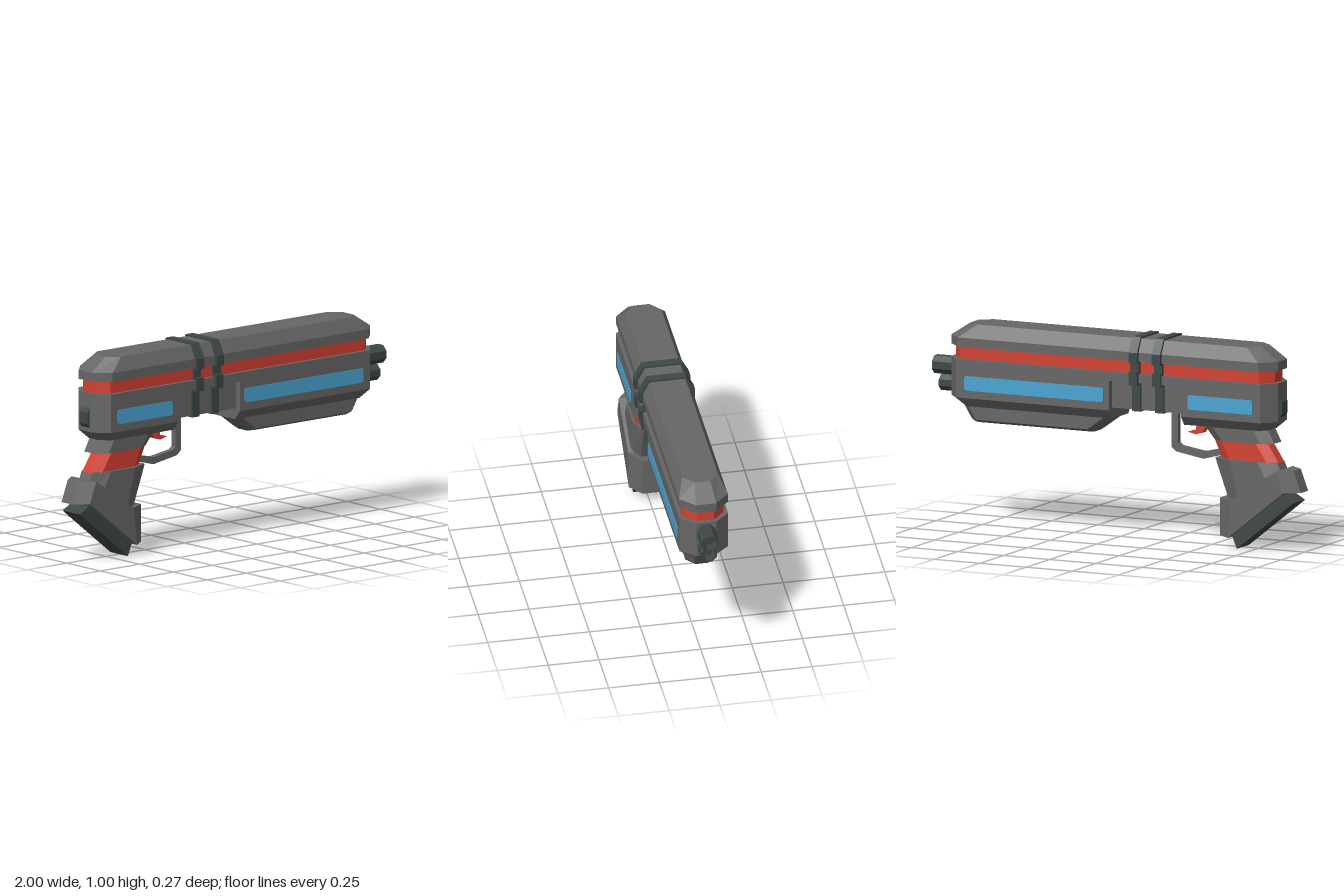
import * as THREE from 'three';

const mat = (name, color) => Object.assign(new THREE.MeshStandardMaterial({ color }), { name });

// Faceted normals on any geometry
function facet(geo) {
  const g = geo.index ? geo.toNonIndexed() : geo;
  g.computeVertexNormals();
  return g;
}

// Solid through rings listed bottom to top. A ring is a list of stations
// [x, y, halfWidth] running back to front, mirrored across z = 0.
function loft(rings) {
  const n = rings[0].length;
  const loops = rings.map(r => [
    ...r.map(([x, y, z]) => [x, y, z]),
    ...r.slice().reverse().map(([x, y, z]) => [x, y, -z]),
  ]);
  const pos = [];
  const quad = (a, b, c, d) => [a, b, c, a, c, d].forEach(p => pos.push(...p));
  for (let k = 0; k < loops.length - 1; k++) {
    const lo = loops[k], hi = loops[k + 1];
    for (let i = 0; i < 2 * n; i++) {
      const j = (i + 1) % (2 * n);
      quad(lo[i], lo[j], hi[j], hi[i]);
    }
  }
  const top = loops[loops.length - 1], bottom = loops[0];
  for (let i = 0; i < n - 1; i++) {
    const m = 2 * n - 1 - i;
    quad(top[i], top[i + 1], top[m - 1], top[m]);
    quad(bottom[m], bottom[m - 1], bottom[i + 1], bottom[i]);
  }
  const g = new THREE.BufferGeometry();
  g.setAttribute('position', new THREE.Float32BufferAttribute(pos, 3));
  g.computeVertexNormals();
  return g;
}

// Level ring: list of [x, halfWidth] at height y
const level = (y, list) => list.map(([x, z]) => [x, y, z]);

// Level ring with chamfered ends
const chamfered = (y, x0, x1, w, cx, endW) =>
  level(y, [[x0, endW], [x0 + cx, w], [x1 - cx, w], [x1, endW]]);

// Flat outline extruded evenly about its own plane
function plate(points, depth) {
  const shape = new THREE.Shape(points.map(p => new THREE.Vector2(...p)));
  const g = new THREE.ExtrudeGeometry(shape, { depth, bevelEnabled: false });
  return g.translate(0, 0, -depth / 2);
}

export function createModel() {
  const model = new THREE.Group();
  const grey = mat('grey shell', 0x666666);
  const dark = mat('dark metal', 0x3e4747);
  const red = mat('red accent', 0xd34132);
  const blue = mat('blue panel', 0x4ba4d2);
  const add = (name, geo, material) => {
    const mesh = new THREE.Mesh(geo, material);
    mesh.name = name;
    model.add(mesh);
    return mesh;
  };

  // Top cover with sloping sides and ends
  add('topCover', loft([
    chamfered(0.885, -0.88, 0.89, 0.12, 0.07, 0.05),
    chamfered(0.93, -0.88, 0.89, 0.12, 0.07, 0.05),
    chamfered(0.995, -0.79, 0.79, 0.088, 0.06, 0.04),
  ]), grey);

  // Red strip between cover and body
  add('redStrip', loft([
    chamfered(0.815, -0.86, 0.87, 0.1, 0.055, 0.042),
    chamfered(0.89, -0.86, 0.87, 0.1, 0.055, 0.042),
  ]), red);

  // Body: rear block, front block, bridge and narrow core between them
  add('rearBody', loft([
    level(0.59, [[-0.83, 0.035], [-0.79, 0.085], [-0.39, 0.085]]),
    level(0.635, [[-0.88, 0.05], [-0.82, 0.12], [-0.39, 0.12]]),
    level(0.825, [[-0.88, 0.05], [-0.82, 0.12], [-0.39, 0.12]]),
  ]), grey);
  add('frontBody', loft([
    level(0.59, [[0, 0.085], [0.79, 0.085], [0.83, 0.035]]),
    level(0.635, [[0, 0.12], [0.83, 0.12], [0.89, 0.05]]),
    level(0.825, [[0, 0.12], [0.83, 0.12], [0.89, 0.05]]),
  ]), grey);
  add('bodyBridge', new THREE.BoxGeometry(0.39, 0.045, 0.24).translate(-0.195, 0.8025, 0), grey);
  add('bodyCore', new THREE.BoxGeometry(0.39, 0.14, 0.18).translate(-0.195, 0.715, 0), grey);

  // Fore-end under the front body
  add('foreEnd', loft([
    chamfered(0.51, 0.12, 0.77, 0.045, 0.03, 0.03),
    chamfered(0.525, 0.1, 0.785, 0.075, 0.04, 0.04),
    chamfered(0.59, 0.01, 0.825, 0.075, 0.04, 0.04),
  ]), grey);

  // Two stepped bands around the body
  const half = [[0.1, 0.638], [0.1, 0.77], [0.133, 0.77], [0.133, 0.835],
    [0.112, 0.835], [0.112, 0.878], [0.136, 0.878], [0.136, 0.93], [0.095, 1.003]];
  const outline = [...half, ...half.slice().reverse().map(([z, y]) => [-z, y])];
  for (const x of [-0.262, -0.137]) {
    add('band', plate(outline, 0.046).rotateY(Math.PI / 2).translate(x, 0, 0), dark);
  }

  // Blue side panels with clipped corners, on both sides
  for (const [x0, x1] of [[-0.778, -0.428], [0.03, 0.785]]) {
    const y0 = 0.673, y1 = 0.744, c = 0.008;
    const pts = [[x0 + c, y0], [x1 - c, y0], [x1, y0 + c], [x1, y1 - c],
      [x1 - c, y1], [x0 + c, y1], [x0, y1 - c], [x0, y0 + c]];
    for (const s of [-1, 1]) add('sidePanel', plate(pts, 0.006).translate(0, 0, s * 0.12), blue);
  }

  // Two hollow eight-sided barrels
  for (const [y, r, end] of [[0.77, 0.047, 1], [0.685, 0.042, 0.965]]) {
    const len = end - 0.86, bore = r * 0.78;
    const profile = [[r, 0], [r, len], [bore, len], [bore, len - 0.05], [0, len - 0.05]];
    const g = new THREE.LatheGeometry(profile.map(p => new THREE.Vector2(...p)), 8, Math.PI / 8);
    add('barrel', facet(g.rotateZ(-Math.PI / 2).translate(0.86, y, 0)), dark);
  }

  // Rear button
  add('rearButton', plate([[-0.87, 0.655], [-0.87, 0.75], [-0.88, 0.75],
    [-0.893, 0.73], [-0.893, 0.675], [-0.88, 0.655]].reverse(), 0.06), dark);

  // Grip: collar, red neck, handle, pommel and foot
  add('gripCollar', loft([
    chamfered(0.525, -0.855, -0.53, 0.075, 0.06, 0.038),
    chamfered(0.592, -0.82, -0.475, 0.075, 0.06, 0.038),
  ]), grey);
  add('gripNeck', loft([
    chamfered(0.43, -0.875, -0.57, 0.06, 0.05, 0.03),
    chamfered(0.53, -0.81, -0.525, 0.06, 0.05, 0.03),
  ]), red);
  add('gripHandle', loft([
    [[-0.93, 0.3, 0.038], [-0.87, 0.27, 0.075], [-0.69, 0.2, 0.075], [-0.62, 0.2, 0.038]],
    chamfered(0.435, -0.87, -0.535, 0.075, 0.09, 0.038),
  ]), grey);
  add('pommel', loft([
    [[-1, 0.295, 0.038], [-0.93, 0.295, 0.092], [-0.63, 0.055, 0.092], [-0.56, 0.055, 0.038]],
    [[-0.96, 0.4, 0.038], [-0.89, 0.4, 0.092], [-0.65, 0.24, 0.092], [-0.56, 0.24, 0.038]],
  ]), grey);
  add('gripFoot', plate([[-0.97, 0.245], [-0.665, 0], [-0.635, 0.075], [-0.9, 0.285]], 0.13), dark);

  // Trigger guard and trigger
  add('triggerGuard', plate([[-0.285, 0.65], [-0.32, 0.65], [-0.32, 0.485], [-0.335, 0.472],
    [-0.46, 0.453], [-0.555, 0.475], [-0.56, 0.445], [-0.46, 0.418],
    [-0.31, 0.443], [-0.285, 0.465]], 0.03), grey);
  add('trigger', plate([[-0.49, 0.6], [-0.455, 0.545], [-0.42, 0.535], [-0.375, 0.545],
    [-0.42, 0.558], [-0.425, 0.6]], 0.036), red);

  return model;
}
